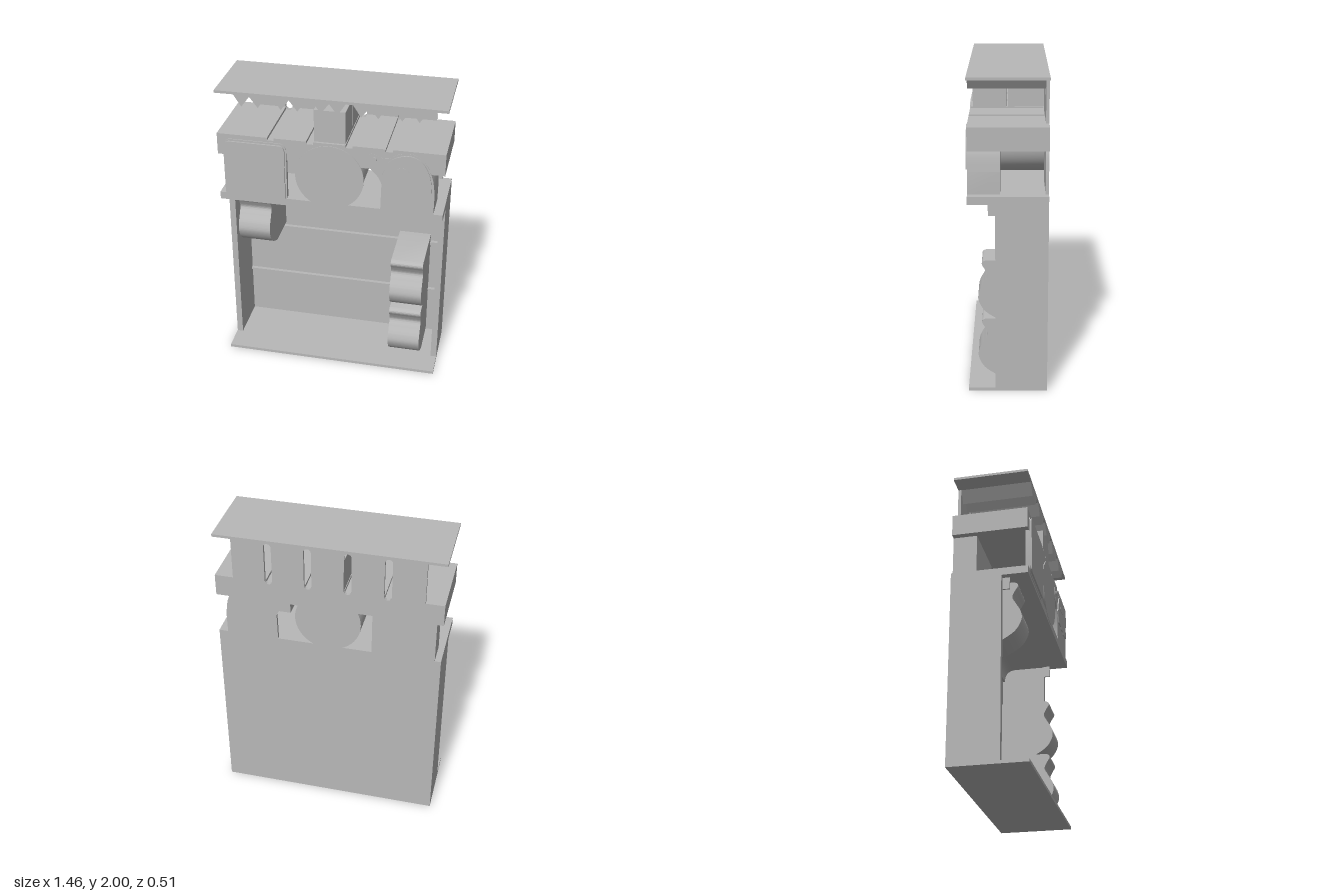
import * as THREE from 'three';
import { toCreasedNormals } from 'three/addons/utils/BufferGeometryUtils.js';

const BACK = -0.255, FRONT = 0.24;

export function createModel() {
  const model = new THREE.Group();
  const grey = new THREE.MeshStandardMaterial({ color: 0xb8b8b8 });
  grey.name = 'plain grey';

  const add = (name, geometry) => {
    const mesh = new THREE.Mesh(geometry, grey);
    mesh.name = name;
    model.add(mesh);
    return mesh;
  };
  // box given by its limits on each axis
  const box = (name, x0, x1, y0, y1, z0, z1) => {
    const g = new THREE.BoxGeometry(x1 - x0, y1 - y0, z1 - z0);
    g.translate((x0 + x1) / 2, (y0 + y1) / 2, (z0 + z1) / 2);
    return add(name, g);
  };
  const polygon = (pts) => new THREE.Shape(pts.map(([x, y]) => new THREE.Vector2(x, y)));
  // front outline pushed from z0 to z1
  const slab = (name, shape, z0, z1) => {
    const g = new THREE.ExtrudeGeometry(shape, { depth: z1 - z0, bevelEnabled: false, curveSegments: 24 });
    g.translate(0, 0, z0);
    return add(name, toCreasedNormals(g, 0.5));
  };
  // side outline (z, y) pushed from x0 to x1
  const sideSlab = (name, shape, x0, x1) => {
    const g = new THREE.ExtrudeGeometry(shape, { depth: x1 - x0, bevelEnabled: false, curveSegments: 24 });
    g.rotateY(-Math.PI / 2).translate(x1, 0, 0);
    return add(name, toCreasedNormals(g, 0.6));
  };
  const roundedRect = (x0, x1, y0, y1, r) => {
    const s = new THREE.Shape();
    s.absarc(x1 - r, y1 - r, r, 0, Math.PI / 2);
    s.absarc(x0 + r, y1 - r, r, Math.PI / 2, Math.PI);
    s.absarc(x0 + r, y0 + r, r, Math.PI, Math.PI * 1.5);
    s.absarc(x1 - r, y0 + r, r, Math.PI * 1.5, Math.PI * 2);
    return s;
  };
  const disc = (x, y, r) => {
    const s = new THREE.Shape();
    s.absarc(x, y, r, 0, Math.PI * 2);
    return s;
  };

  // lower cabinet
  box('basePlate', -0.73, 0.73, 0, 0.02, BACK, FRONT);
  box('cabinetBack', -0.73, 0.73, 0.02, 1.23, BACK, -0.24);
  for (const s of [-1, 1]) {
    box('cabinetSide', Math.min(s * 0.69, s * 0.73), Math.max(s * 0.69, s * 0.73), 0.02, 1.23, -0.24, 0.07);
    box('counterBracket', s * 0.685 - 0.005, s * 0.685 + 0.005, 1.15, 1.23, 0.07, 0.115);
  }
  box('upperLedge', -0.69, 0.69, 0.762, 0.784, -0.24, -0.215);
  box('lowerLedge', -0.69, 0.69, 0.378, 0.39, -0.24, -0.215);

  // curved cove beneath the counter
  const cove = polygon([[-0.24, 1.23], [-0.24, 1.14], [-0.225, 1.14], [-0.225, 1.15]]);
  cove.quadraticCurveTo(-0.22, 1.23, -0.14, 1.23);
  sideSlab('cove', cove, -0.69, 0.69);

  // bulging bins
  for (const [x, y] of [[-0.53, 0.805], [0.505, 0.42], [0.505, 0.03]]) {
    const v = (z, h) => new THREE.Vector2(z, y + h);
    const bin = new THREE.Shape([v(-0.24, 0), v(0, 0)]);
    bin.splineThru([v(0.07, 0.03), v(0.14, 0.08), v(0.178, 0.15), v(0.172, 0.21),
      v(0.14, 0.27), v(0.12, 0.31), v(0.135, 0.35), v(0.155, 0.385), v(0.152, 0.405), v(0.13, 0.415)]);
    bin.lineTo(-0.24, y + 0.415);
    sideSlab('bin', bin, x - 0.108, x + 0.108);
  }

  // counter
  box('counter', -0.73, 0.73, 1.23, 1.28, BACK, FRONT);

  // rounded square panel with a block behind it
  box('squareBlock', -0.69, -0.285, 1.28, 1.56, BACK, -0.1);
  slab('squareFrame', roundedRect(-0.69, -0.277, 1.25, 1.675, 0.05), 0.215, 0.244);
  slab('squareFace', roundedRect(-0.682, -0.288, 1.263, 1.662, 0.035), 0.244, 0.255);

  // round drum
  slab('drum', disc(0, 1.47, 0.213), BACK, 0.235);
  slab('drumFace', disc(0, 1.467, 0.222), 0.235, 0.243);

  // animal figure: head at the left, domed shell, block body
  const figure = new THREE.Shape();
  figure.moveTo(0.33, 1.235);
  figure.lineTo(0.67, 1.235);
  figure.lineTo(0.672, 1.42);
  figure.splineThru([[0.655, 1.53], [0.61, 1.63], [0.55, 1.68], [0.49, 1.69], [0.43, 1.675],
    [0.38, 1.645], [0.33, 1.645], [0.29, 1.665], [0.255, 1.66], [0.243, 1.615], [0.265, 1.56],
    [0.31, 1.51], [0.335, 1.46]].map(([x, y]) => new THREE.Vector2(x, y)));
  slab('figureBody', figure, 0.04, 0.24);
  slab('figureBack', figure, BACK, -0.235);

  const shell = polygon([[0.325, 1.5], [0.365, 1.425], [0.45, 1.43], [0.46, 1.415], [0.53, 1.425],
    [0.54, 1.41], [0.63, 1.43], [0.655, 1.43]]);
  shell.splineThru([[0.64, 1.54], [0.6, 1.625], [0.55, 1.665], [0.49, 1.675], [0.42, 1.655],
    [0.375, 1.62]].map(([x, y]) => new THREE.Vector2(x, y)));
  slab('figureShell', shell, 0.24, 0.248);
  const eye = slab('figureEye', disc(0, 0, 0.018), 0.24, 0.246);
  eye.position.set(0.288, 1.625, 0);
  eye.scale.x = 0.8;
  const mark = new THREE.Shape();
  mark.moveTo(0.415, 1.56);
  mark.quadraticCurveTo(0.46, 1.62, 0.51, 1.565);
  mark.quadraticCurveTo(0.5, 1.545, 0.47, 1.565);
  mark.quadraticCurveTo(0.44, 1.54, 0.415, 1.56);
  slab('shellMark', mark, 0.248, 0.251);

  // thick upper shelf with shallow grooves in line with the slots
  const slots = [-0.378, -0.126, 0.126, 0.378];
  const shelf = [[0.73, 1.56], [0.73, 1.705]];
  for (const x of [...slots].reverse()) {
    shelf.push([x + 0.022, 1.705], [x + 0.022, 1.688], [x - 0.022, 1.688], [x - 0.022, 1.705]);
  }
  shelf.push([-0.73, 1.705], [-0.73, 1.56]);
  slab('upperShelf', polygon(shelf), BACK, 0.238);

  // slotted upper back wall
  const wall = polygon([[-0.61, 1.68], [0.61, 1.68], [0.61, 1.985], [-0.61, 1.985]]);
  for (const x of slots) wall.holes.push(roundedRect(x - 0.024, x + 0.024, 1.69, 1.98, 0.0235));
  slab('upperBack', wall, BACK, -0.235);

  // centre blocks, split by a narrow gap
  box('frontBlock', -0.1, 0.1, 1.7, 1.92, 0.006, 0.222);
  box('rearBlock', -0.1, 0.1, 1.7, 1.92, -0.235, -0.006);

  // roof with five pairs of teeth running front to back
  box('roof', -0.73, 0.73, 1.983, 2, BACK, FRONT);
  for (let i = -2; i <= 2; i++) {
    const x = i * 0.252;
    slab('roofTeeth', polygon([[x - 0.105, 1.985], [x - 0.053, 1.905], [x, 1.975],
      [x + 0.053, 1.905], [x + 0.105, 1.985]]), -0.235, 0.238);
  }

  return model;
}
